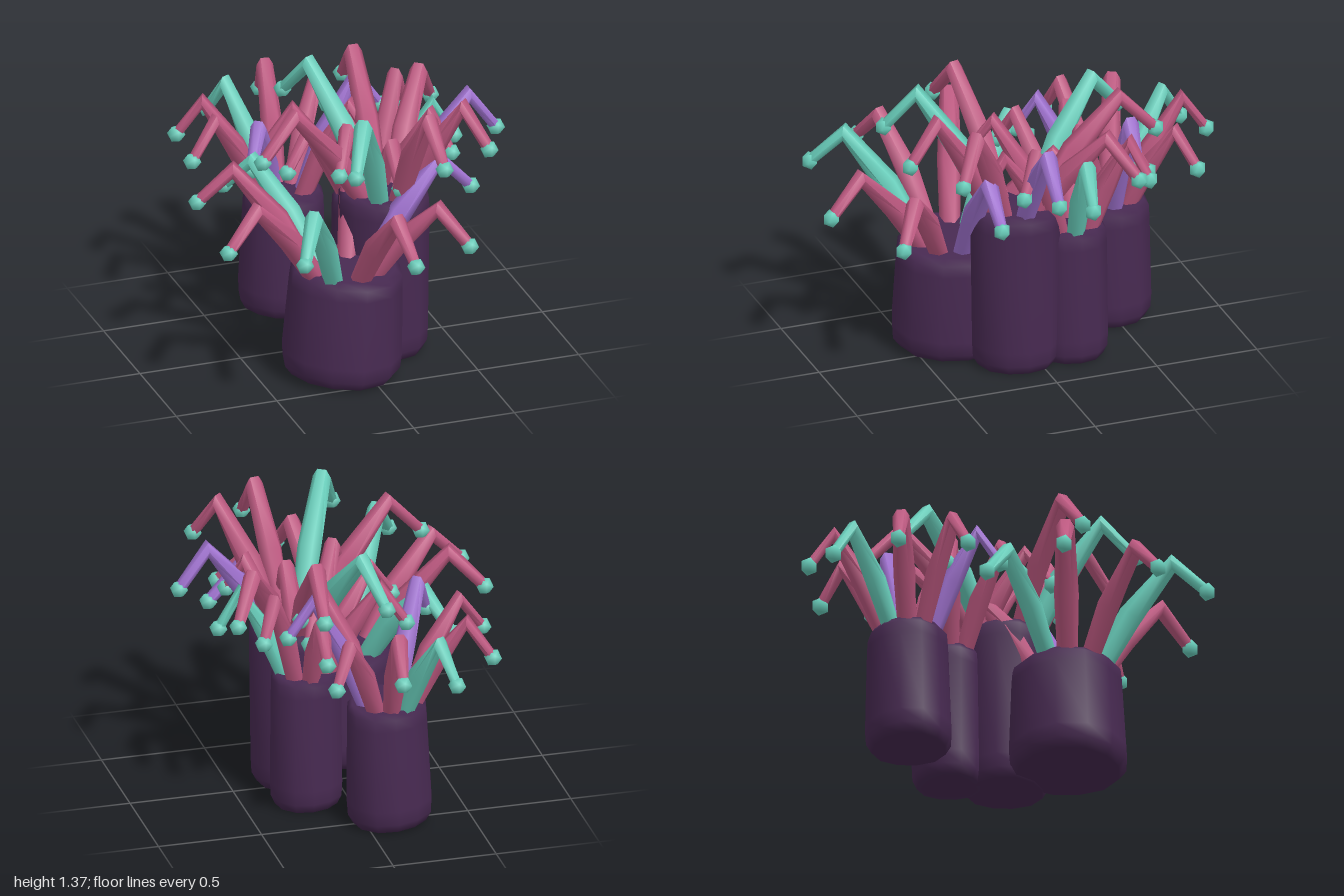
import * as THREE from 'three';
import { mergeVertices, toCreasedNormals } from 'three/addons/utils/BufferGeometryUtils.js';

const mat = (name, color) => Object.assign(new THREE.MeshStandardMaterial({ color }), { name });

// Polyp tubes: centre, bottom and top radius, height, and tentacles by colour
// with the place of each tip
const POLYPS = [
  { name: 'frontPolyp', x: -0.105, z: 0.305, rb: 0.285, rt: 0.27, h: 0.56, lift: 0.03, arms: {
    pink: [[-0.74, 0.88, 0.07], [-0.75, 0.82, 0.53], [0.03, 0.81, 0.95], [0.38, 0.76, 0.72], [0.2, 0.84, -0.26]],
    teal: [[-0.49, 0.86, 0.86], [-0.5, 0.8, -0.23]],
    violet: [[0.54, 0.86, 0.29]] } },
  { name: 'tallPolyp', x: 0.185, z: 0.09, rb: 0.21, rt: 0.218, h: 0.82, lift: 0, arms: {
    pink: [[0.28, 1.14, 0.65], [0.56, 1.13, 0.49], [0.58, 1.03, -0.38], [0.22, 1.1, -0.6], [-0.48, 1.12, 0.25]],
    teal: [[-0.15, 1.15, 0.62], [-0.1, 1.1, -0.53]],
    violet: [[0.74, 1.04, 0.08]] } },
  { name: 'smallPolyp', x: 0.2, z: -0.18, rb: 0.175, rt: 0.17, h: 0.68, lift: 0, arms: {
    pink: [[0.48, 0.97, -0.47], [0.2, 0.87, -0.57], [-0.25, 0.93, -0.33], [-0.27, 0.93, 0.01],
      [-0.09, 0.98, 0.23], [0.2, 0.88, 0.26], [0.49, 0.98, 0.16]],
    teal: [[0.61, 0.92, -0.14]] } },
  { name: 'backPolyp', x: -0.12, z: -0.485, rb: 0.205, rt: 0.193, h: 0.62, lift: 0.015, arms: {
    pink: [[-0.06, 0.91, -0.96], [0.22, 0.85, -0.81], [-0.57, 0.87, -0.69], [-0.61, 0.88, -0.36], [0.22, 0.93, -0.18]],
    teal: [[-0.33, 0.86, -0.93]],
    violet: [[0.36, 0.98, -0.46], [-0.4, 0.9, -0.13]] } },
];

// Rounded tube with slightly uneven sides and a shallow sunken top
function bodyGeometry({ rb, rt, h, lift }) {
  const profile = [[0, 0.005], [rb * 0.86, 0.005], [rb * 0.98, 0.05], [rb, 0.12],
    [rt, h - 0.09], [rt * 0.98, h - 0.03], [rt * 0.86, h], [0, h - 0.03]];
  const geo = new THREE.LatheGeometry(profile.map(p => new THREE.Vector2(...p)), 12);
  const pos = geo.attributes.position;
  for (let i = 0; i < pos.count; i++) {
    const x = pos.getX(i), y = pos.getY(i), z = pos.getZ(i);
    const k = 1 + 0.035 * Math.sin(3 * Math.atan2(z, x) + 3.93);
    // A tilted tube rises towards -x and leans towards +x
    pos.setXYZ(i, x * k + lift * y / h, y + lift * (rb * (1 - y / h) - x) / (2 * rb), z * k);
  }
  geo.deleteAttribute('normal');
  geo.deleteAttribute('uv');
  const welded = mergeVertices(geo, 0.001);
  welded.computeVertexNormals();
  return welded;
}

// Smooth-shaded low-poly bead
function beadGeometry() {
  const geo = new THREE.IcosahedronGeometry(0.044, 0);
  geo.deleteAttribute('normal');
  geo.deleteAttribute('uv');
  const welded = mergeVertices(geo, 0.001);
  welded.computeVertexNormals();
  return welded;
}

// Six-sided tapering tube along a path that lies in one vertical plane
function armGeometry(path, radii) {
  const n = 6, verts = [], index = [];
  const span = path[path.length - 1].clone().sub(path[0]);
  const side = new THREE.Vector3(-span.z, 0, span.x).normalize();
  path.forEach((p, i) => {
    const before = p.clone().sub(path[Math.max(i - 1, 0)]).normalize();
    const after = path[Math.min(i + 1, path.length - 1)].clone().sub(p).normalize();
    const up = before.add(after).normalize().cross(side);
    for (let j = 0; j < n; j++) {
      const a = (j / n) * Math.PI * 2;
      const v = p.clone().addScaledVector(side, Math.cos(a) * radii[i])
        .addScaledVector(up, Math.sin(a) * radii[i]);
      verts.push(v.x, v.y, v.z);
      if (i === 0) continue;
      const b = i * n + j, c = i * n + (j + 1) % n;
      index.push(b - n, c - n, b, c - n, c, b);
    }
  });
  const geo = new THREE.BufferGeometry();
  geo.setAttribute('position', new THREE.Float32BufferAttribute(verts, 3));
  geo.setIndex(index);
  return toCreasedNormals(geo, 1.2);
}

// Tentacle rising from the tube's mouth to an elbow, then drooping to its tip
function tentacleGeometry({ x, z, rt, h }, tip) {
  const dir = new THREE.Vector3(tip.x - x, 0, tip.z - z).normalize();
  const base = new THREE.Vector3(x, h - 0.05, z).addScaledVector(dir, rt * 0.52);
  const elbowY = tip.y + 0.12 + 0.085 * h;
  const at = (t, y) => base.clone().lerp(tip, t).setY(y);
  const path = [base, at(0.3, base.y + (elbowY - base.y) * 0.53), at(0.69, elbowY), tip];
  const thick = rt < 0.2 ? 0.9 : 1;
  return armGeometry(path, [0.047, 0.058, 0.044, 0.028].map(r => r * thick));
}

export function createModel() {
  const bodyMat = mat('darkPlum', 0x482a52);
  const armMats = {
    pink: mat('rosePink', 0xbf5a82),
    teal: mat('seaTeal', 0x6ad0bd),
    violet: mat('softViolet', 0xa173d1),
  };
  const model = new THREE.Group();
  model.name = 'tentacleCluster';
  const bead = beadGeometry();

  for (const polyp of POLYPS) {
    const group = new THREE.Group();
    group.name = polyp.name;
    const add = (name, geometry, material) => {
      const mesh = new THREE.Mesh(geometry, material);
      mesh.name = name;
      group.add(mesh);
      return mesh;
    };
    add('body', bodyGeometry(polyp), bodyMat).position.set(polyp.x, 0, polyp.z);

    for (const [color, tips] of Object.entries(polyp.arms)) {
      for (const point of tips) {
        const tip = new THREE.Vector3(...point);
        add('tentacle', tentacleGeometry(polyp, tip), armMats[color]);
        add('tentacleTip', bead, armMats.teal).position.copy(tip);
      }
    }
    model.add(group);
  }
  return model;
}
